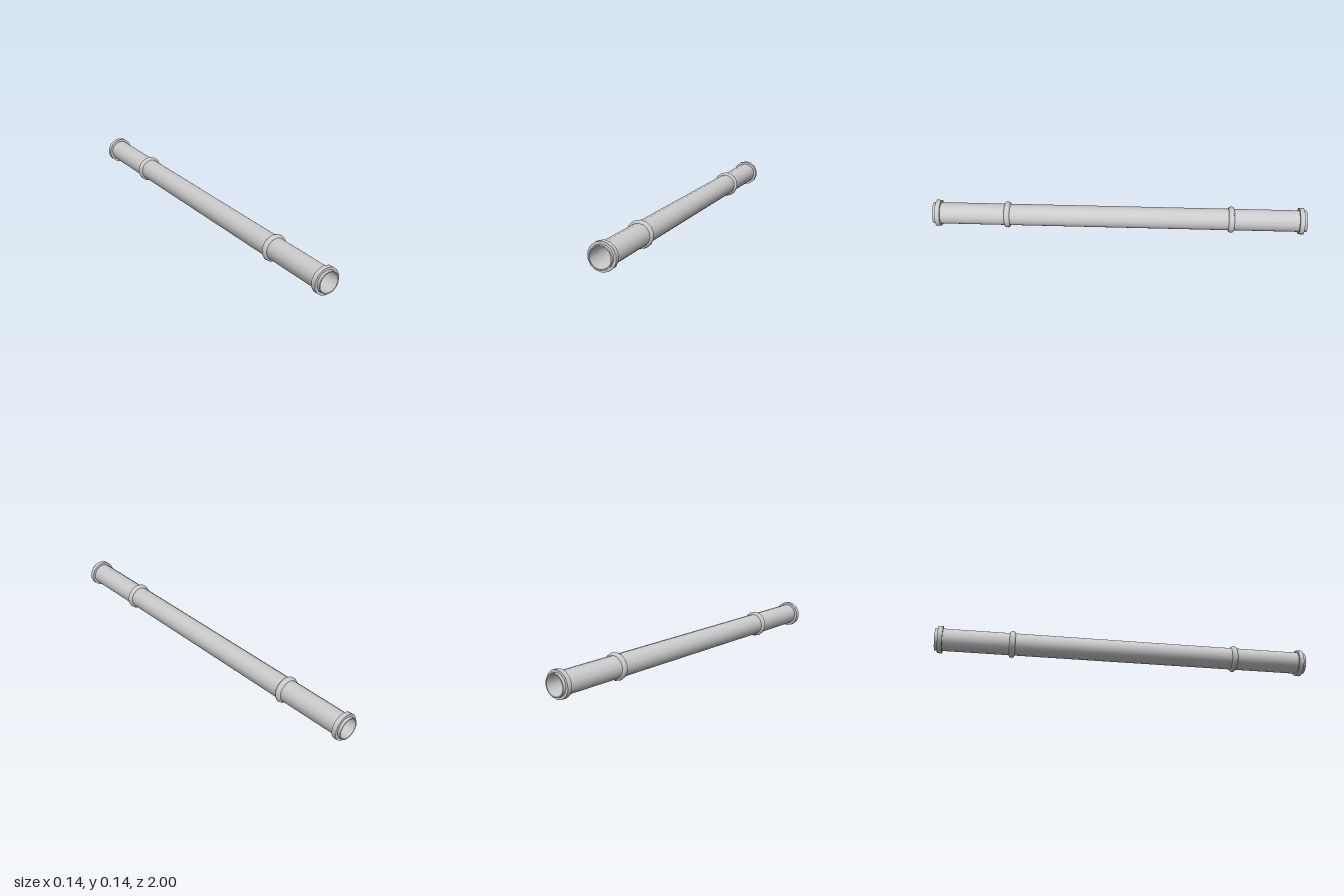
import * as THREE from 'three';
import { toCreasedNormals } from 'three/addons/utils/BufferGeometryUtils.js';

const SIDES = 14;
const CENTRE_Y = 0.0715;
const OUTER = 0.0585, INNER = 0.053, RIM = 0.0715;

export function createModel() {
  const model = new THREE.Group();
  const material = new THREE.MeshStandardMaterial({ color: 0xcccccc });

  // Revolves a counter-clockwise [radius, height] profile, laid along z
  function revolve(name, profile, z = 0) {
    const points = profile.map(([r, h]) => new THREE.Vector2(r, h));
    const geometry = new THREE.LatheGeometry(points, SIDES).rotateX(-Math.PI / 2);
    const mesh = new THREE.Mesh(toCreasedNormals(geometry, 0.9), material);
    mesh.name = name;
    mesh.position.set(0, CENTRE_Y, z);
    model.add(mesh);
  }

  // Square-edged sleeve: outer wall, end, inner wall, end
  const sleeve = (outer, inner, half) => [
    [outer, -half], [outer, half], [inner, half], [inner, -half], [outer, -half],
  ];

  // Rounded bead sitting on the pipe wall
  const bead = [];
  for (let i = 0; i <= 6; i++) {
    const a = -Math.PI / 2 + (i / 6) * Math.PI;
    bead.push([OUTER - 0.002 + 0.015 * Math.cos(a), 0.016 * Math.sin(a)]);
  }

  // Hollow pipe, open at both ends
  revolve('pipe', sleeve(OUTER, INNER, 1));

  // Matching collars and joint rings at front and back
  for (const [side, s] of [['front', 1], ['back', -1]]) {
    revolve(side + 'EndCollar', sleeve(RIM, OUTER - 0.002, 0.0125), s * 0.972);
    revolve(side + 'JointRing', bead, s * 0.6);
  }
  return model;
}
